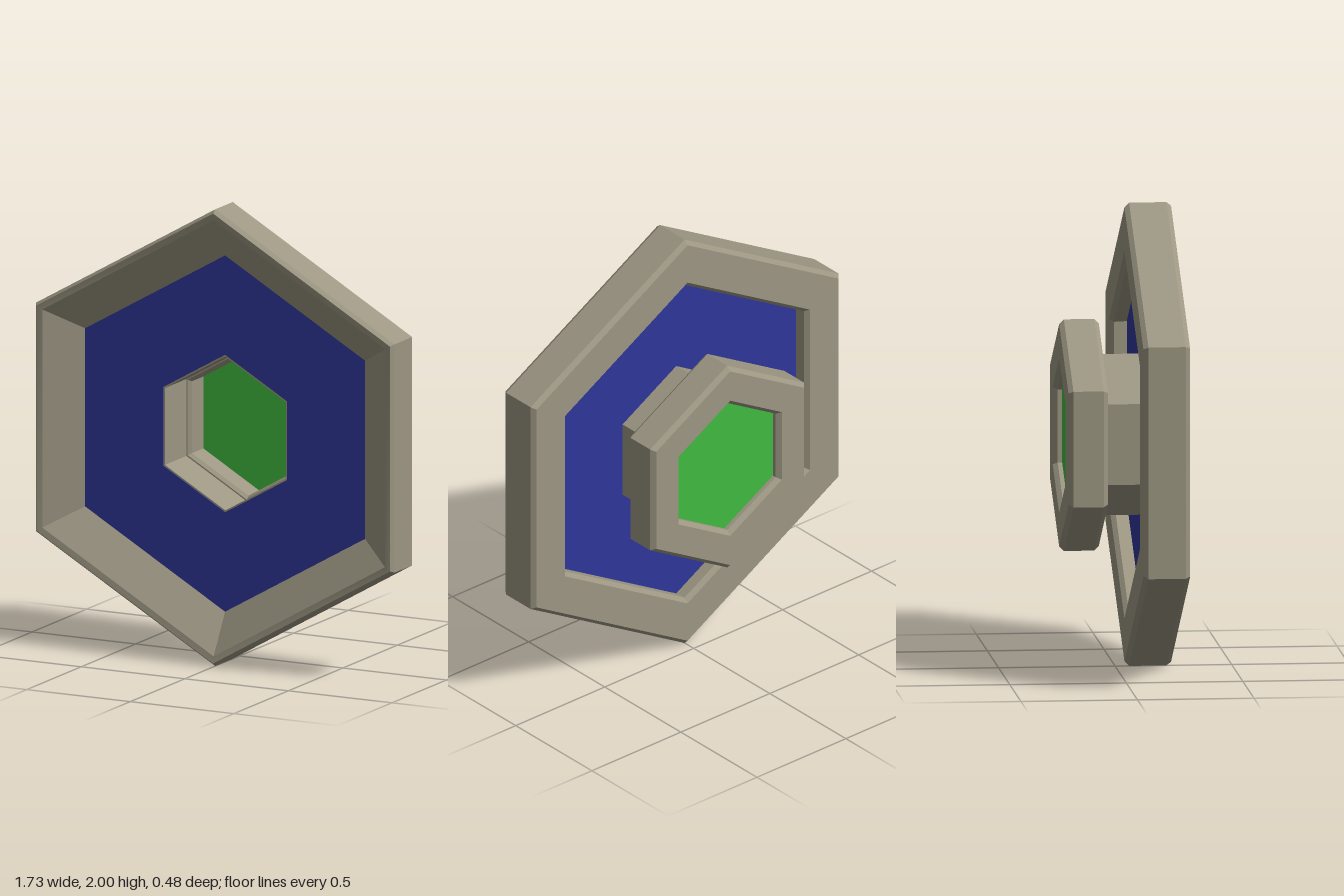
import * as THREE from 'three';
import { toCreasedNormals } from 'three/addons/utils/BufferGeometryUtils.js';

const grey = new THREE.MeshStandardMaterial({ name: 'warmGrey', color: 0x9c9682 });
const blue = new THREE.MeshStandardMaterial({ name: 'deepBlue', color: 0x2f369a });
const green = new THREE.MeshStandardMaterial({ name: 'brightGreen', color: 0x40ba40 });

// Six-sided ring from a closed [corner radius, z] profile, point upwards
function hexRing(name, profile, material) {
  const points = [...profile, profile[0]].map(([r, z]) => new THREE.Vector2(r, z));
  const geometry = new THREE.LatheGeometry(points, 6).rotateX(Math.PI / 2);
  const mesh = new THREE.Mesh(toCreasedNormals(geometry, 0.3), material);
  mesh.name = name;
  return mesh;
}

export function createModel() {
  const group = new THREE.Group();
  group.name = 'hexagonalStud';

  // Large frame: square back, front sloping inwards to the panel
  group.add(hexRing('outerFrame', [
    [0.98, 0.04], [1, 0.06], [1, 0.22], [0.985, 0.24], [0.955, 0.235],
    [0.78, 0.13], [0.775, 0.06], [0.795, 0.04],
  ], grey));

  // Recessed panel with a hexagonal hole
  group.add(hexRing('panel', [
    [0.345, 0.115], [0.785, 0.115], [0.785, 0.13], [0.345, 0.13],
  ], blue));

  // Thin tube joining the panel to the rear frame
  group.add(hexRing('neckTube', [
    [0.348, -0.09], [0.348, 0.128], [0.337, 0.128], [0.337, -0.09],
  ], grey));

  // Small rear frame
  group.add(hexRing('rearFrame', [
    [0.315, -0.22], [0.335, -0.24], [0.48, -0.24], [0.5, -0.22],
    [0.5, -0.09], [0.48, -0.07], [0.33, -0.07], [0.315, -0.085],
  ], grey));

  // Pane closing the rear frame
  const pane = new THREE.Mesh(
    new THREE.CylinderGeometry(0.318, 0.318, 0.012, 6).rotateX(Math.PI / 2), green);
  pane.name = 'rearPane';
  pane.position.z = -0.195;
  group.add(pane);

  for (const part of group.children) part.position.y = 1;
  return group;
}
